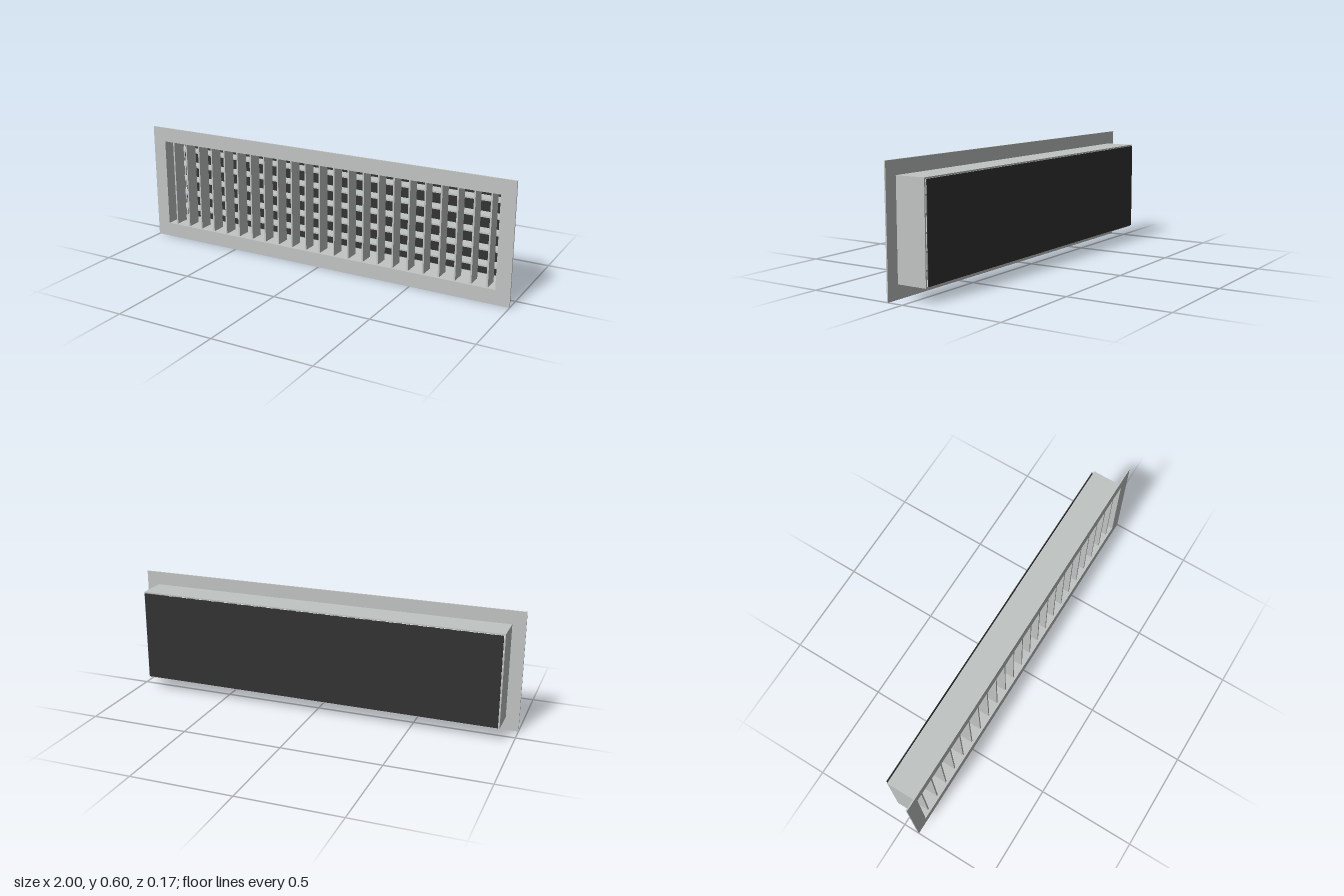
import * as THREE from 'three';

export function createModel() {
  const metal = new THREE.MeshStandardMaterial({ color: 0xc0c4c3 });
  metal.name = 'light grey metal';
  const dark = new THREE.MeshStandardMaterial({ color: 0x333333 });
  dark.name = 'dark backing';

  const model = new THREE.Group();
  model.name = 'ventGrille';
  const midY = 0.3015;

  // Rectangular ring with a rectangular hole, extruded from z0 to z1
  function ring(name, w, h, holeW, holeH, z0, z1) {
    const shape = new THREE.Shape();
    shape.moveTo(-w / 2, -h / 2).lineTo(w / 2, -h / 2).lineTo(w / 2, h / 2).lineTo(-w / 2, h / 2).closePath();
    const hole = new THREE.Path();
    hole.moveTo(-holeW / 2, -holeH / 2).lineTo(-holeW / 2, holeH / 2)
      .lineTo(holeW / 2, holeH / 2).lineTo(holeW / 2, -holeH / 2).closePath();
    shape.holes.push(hole);
    const geometry = new THREE.ExtrudeGeometry(shape, { depth: z1 - z0, bevelEnabled: false });
    const mesh = new THREE.Mesh(geometry, metal);
    mesh.name = name;
    mesh.position.set(0, midY, z0);
    model.add(mesh);
  }

  function box(name, parent, material, w, h, d, x, y, z) {
    const mesh = new THREE.Mesh(new THREE.BoxGeometry(w, h, d), material);
    mesh.name = name;
    mesh.position.set(x, y, z);
    parent.add(mesh);
  }

  // Front flange and the duct sleeve behind it
  ring('frontFrame', 2, 0.603, 1.856, 0.456, 0.077, 0.084);
  ring('sleeve', 1.87, 0.469, 1.856, 0.456, -0.075, 0.077);

  // Upright fins near the front
  const fins = new THREE.Group();
  fins.name = 'verticalFins';
  for (let i = -11; i <= 11; i++) {
    box('verticalFin', fins, metal, 0.008, 0.456, 0.075, i * 0.0803, midY, 0.033);
  }
  model.add(fins);

  // Level blades behind the fins
  const blades = new THREE.Group();
  blades.name = 'horizontalBlades';
  for (let i = -2; i <= 2; i++) {
    box('horizontalBlade', blades, metal, 1.856, 0.008, 0.064, 0, midY + i * 0.0803, -0.039);
  }
  model.add(blades);

  // Dark plate just behind the sleeve
  box('backPlate', model, dark, 1.856, 0.456, 0.004, 0, midY, -0.082);

  return model;
}
